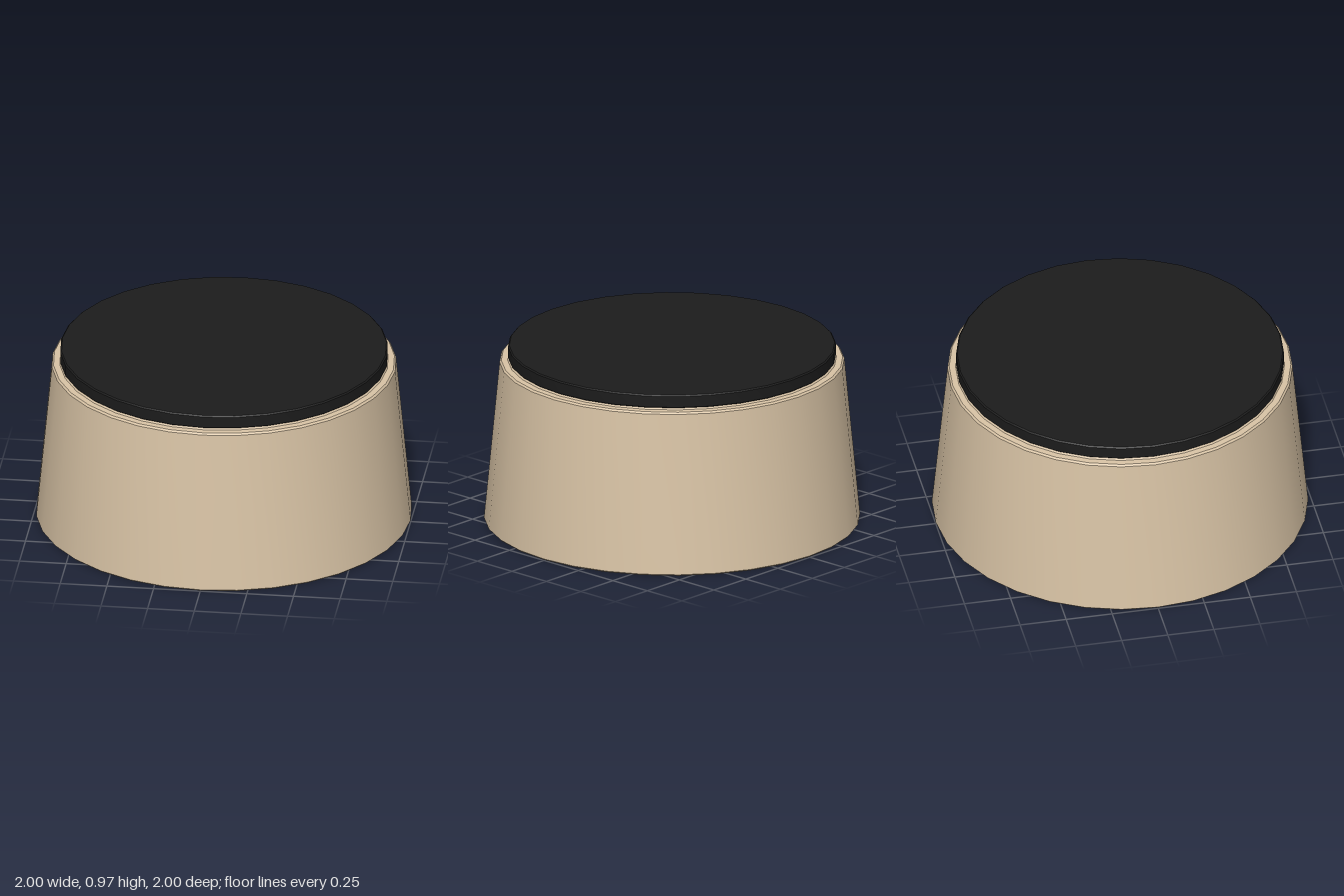
import * as THREE from 'three';
import { toCreasedNormals } from 'three/addons/utils/BufferGeometryUtils.js';

const SIDES = 32;

// Turned part from a bottom-to-top profile of [radius, height]
function turned(name, color, profile) {
  const points = profile.map(([r, y]) => new THREE.Vector2(r, y));
  const geometry = toCreasedNormals(new THREE.LatheGeometry(points, SIDES), 0.6);
  const mesh = new THREE.Mesh(geometry, new THREE.MeshStandardMaterial({ color }));
  mesh.name = name;
  return mesh;
}

export function createModel() {
  const group = new THREE.Group();
  group.name = 'roundBase';

  // Tapered body with small bevels and a short neck under the pad
  group.add(turned('taperedBody', 0xd8c3a5, [
    [0, 0], [0.992, 0], [1, 0.008], [0.917, 0.878], [0.908, 0.888],
    [0.875, 0.89], [0.865, 0.9], [0, 0.9],
  ]));

  // Dark disc on top with softened rims
  group.add(turned('topPad', 0x1c1c1c, [
    [0, 0.898], [0.867, 0.898], [0.872, 0.903], [0.872, 0.963], [0.865, 0.97], [0, 0.97],
  ]));

  return group;
}
